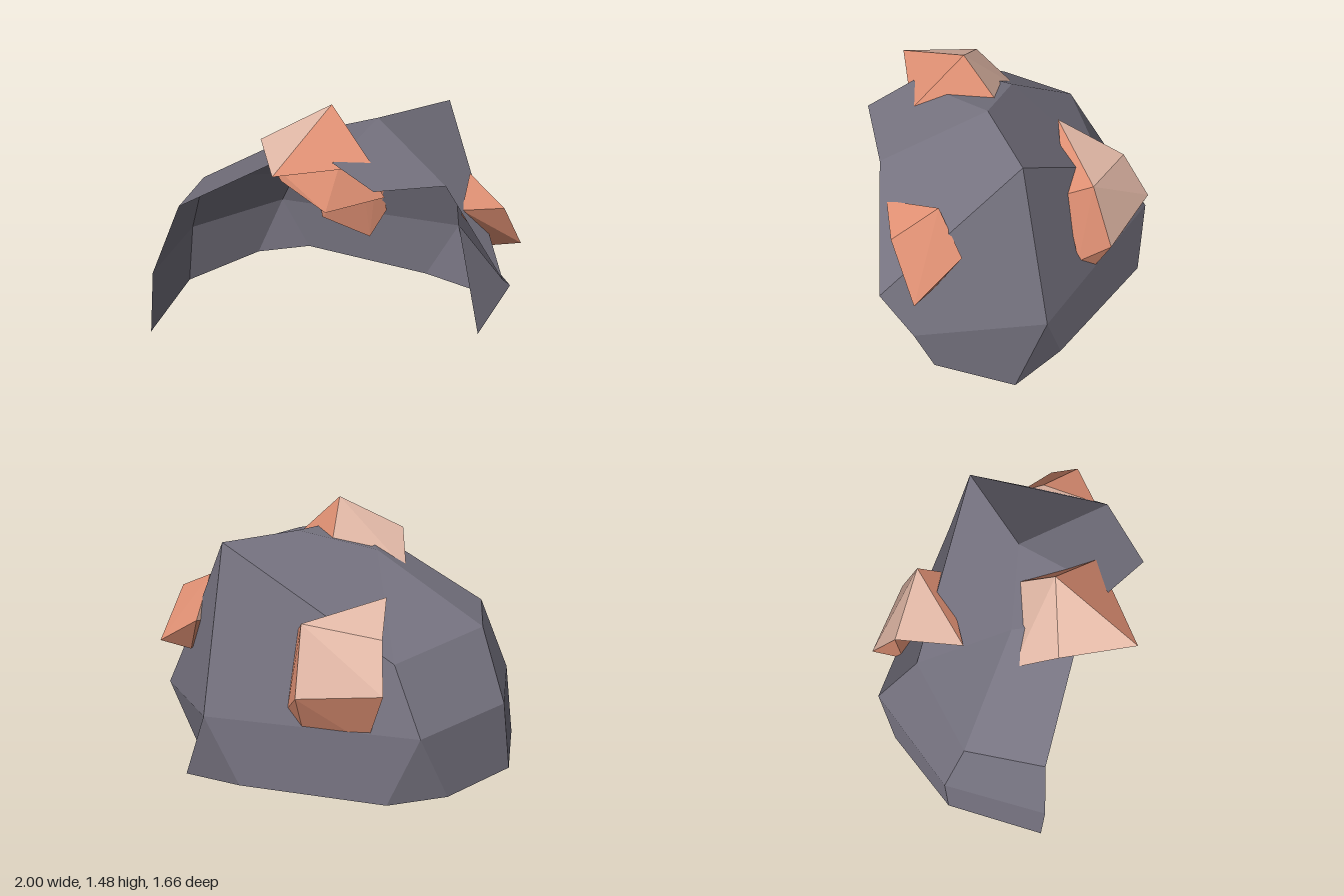
import * as THREE from 'three';
import { ConvexGeometry } from 'three/addons/geometries/ConvexGeometry.js';

const v = (p) => new THREE.Vector3(...p);

// Builds panels from named corners, wound to face away from the inside.
// Each panel is shaded with one mean normal, so slightly bent panels look flat.
function panelGeometry(corners, panels, inside) {
  const points = [];
  const normals = [];
  for (const panel of panels) {
    let pts = panel.split(' ').map((k) => v(corners[k]));
    const mean = new THREE.Vector3();
    for (let i = 1; i < pts.length - 1; i++) {
      mean.add(pts[i].clone().sub(pts[0]).cross(pts[i + 1].clone().sub(pts[0])));
    }
    mean.normalize();
    if (mean.dot(pts[0].clone().sub(inside)) < 0) {
      mean.negate();
      pts = [pts[0], ...pts.slice(1).reverse()];
    }
    for (let i = 1; i < pts.length - 1; i++) {
      points.push(pts[0], pts[i], pts[i + 1]);
      for (let j = 0; j < 3; j++) normals.push(mean.x, mean.y, mean.z);
    }
  }
  const g = new THREE.BufferGeometry().setFromPoints(points);
  g.setAttribute('normal', new THREE.Float32BufferAttribute(normals, 3));
  return g;
}

// Convex rock whose upper rear facets take the second material
const weatherSide = new THREE.Vector3(-0.4, 0.3, -0.87);
function rockGeometry(points) {
  const g = new ConvexGeometry(points.map(v));
  const normal = new THREE.Vector3();
  for (let i = 0; i < g.attributes.normal.count; i += 3) {
    normal.fromBufferAttribute(g.attributes.normal, i);
    g.addGroup(i, 3, normal.y > 0 && normal.dot(weatherSide) > 0.3 ? 1 : 0);
  }
  return g;
}

export function createModel() {
  const model = new THREE.Group();
  model.name = 'rockShelter';

  const slate = new THREE.MeshStandardMaterial({ color: 0x75727f, side: THREE.DoubleSide });
  slate.name = 'slate grey';
  const coral = new THREE.MeshStandardMaterial({ color: 0xe29275, flatShading: true });
  coral.name = 'coral orange';
  const peach = new THREE.MeshStandardMaterial({ color: 0xe4baa8, flatShading: true });
  peach.name = 'pale peach';

  // Open shell: base ring, lower ring, shoulder ring and roof corners
  const corners = {
    a0: [-1, 0, -0.23], b0: [-0.62, 0, -0.685], c0: [-0.09, 0, -0.835], d0: [0.25, 0, -0.765],
    h0: [0.81, 0, -0.14], e0: [1, 0, 0.16], f0: [0.77, 0, 0.57],
    a1: [-0.965, 0.42, -0.2], b1: [-0.58, 0.39, -0.67], c1: [0.09, 0.36, -0.835],
    e1: [0.955, 0.39, -0.02], f1: [0.885, 0.38, 0.68], g1: [0.725, 0.545, 0.83],
    m: [-0.8, 0.85, -0.14], l: [-0.535, 0.805, -0.51], k: [0.08, 0.69, -0.56], p: [0.77, 1.31, 0.08],
    u: [-0.25, 1.28, 0.3], w: [-0.12, 1.205, -0.05], t: [0.275, 1.32, 0.16],
    s: [-0.15, 1.28, 0.5], r: [-0.045, 1.22, 0.76], q: [0.375, 1.157, 0.745],
  };
  const panels = [
    // base band
    'a0 a1 b1 b0', 'b0 b1 c1 c0', 'c0 c1 d0', 'd0 c1 e1 h0', 'h0 e1 e0', 'e1 f1 f0 e0',
    // walls
    'a1 m l b1', 'l k c1 b1', 'k p e1 c1', 'g1 f1 e1 p', 'p t q g1',
    // roof
    'm u w l', 'l w k', 'w u s t', 't p k w', 's r q t',
  ];
  const shell = new THREE.Mesh(panelGeometry(corners, panels, new THREE.Vector3(0.1, 0.5, 0)), slate);
  shell.name = 'shell';
  model.add(shell);

  // Angular rocks set through the shell
  const rocks = {
    roofRock: [
      [-0.485, 1.275, 0.51], [0.06, 1.24, 0.535], [-0.035, 1.48, 0.23], [0.09, 1.27, 0.09],
      [-0.39, 1.29, 0.1],
    ],
    roofRockBack: [
      [-0.035, 1.48, 0.23], [0.09, 1.27, 0.09], [-0.39, 1.29, 0.1], [-0.28, 1.08, -0.11], [0.13, 1.2, 0.08],
    ],
    roofRockRoot: [
      [-0.29, 1.07, -0.05], [-0.27, 1.09, -0.1], [-0.24, 0.96, 0], [-0.045, 0.8, 0.17], [0.315, 0.83, 0.19],
      [0.11, 1.15, 0.09], [0.13, 1.2, 0.06], [0, 0.95, -0.08], [0.2, 0.9, 0],
    ],
    backRockTip: [
      [-0.03, 0.99, -0.3], [0.2, 0.86, -0.63], [0.53, 0.93, -0.36], [0.475, 0.855, -0.215], [0.38, 0.74, -0.32],
    ],
    backRock: [
      [0.2, 0.86, -0.63], [0.28, 0.605, -0.77], [0.62, 0.56, -0.455], [0.53, 0.93, -0.36],
      [0.475, 0.855, -0.215], [0.41, 0.68, -0.28], [0.58, 0.45, -0.285], [0.5, 0.24, -0.35],
      [0.28, 0.3, -0.61],
    ],
    sideRock: [
      [0.49, 0.985, 0.735], [0.68, 1.05, 0.49], [0.75, 0.945, 0.745], [0.935, 0.645, 0.67],
      [0.81, 0.81, 0.4], [0.79, 0.6, 0.555], [0.66, 0.78, 0.47],
    ],
  };
  for (const [name, pts] of Object.entries(rocks)) {
    const rock = new THREE.Mesh(rockGeometry(pts), [coral, peach]);
    rock.name = name;
    model.add(rock);
  }
  return model;
}
